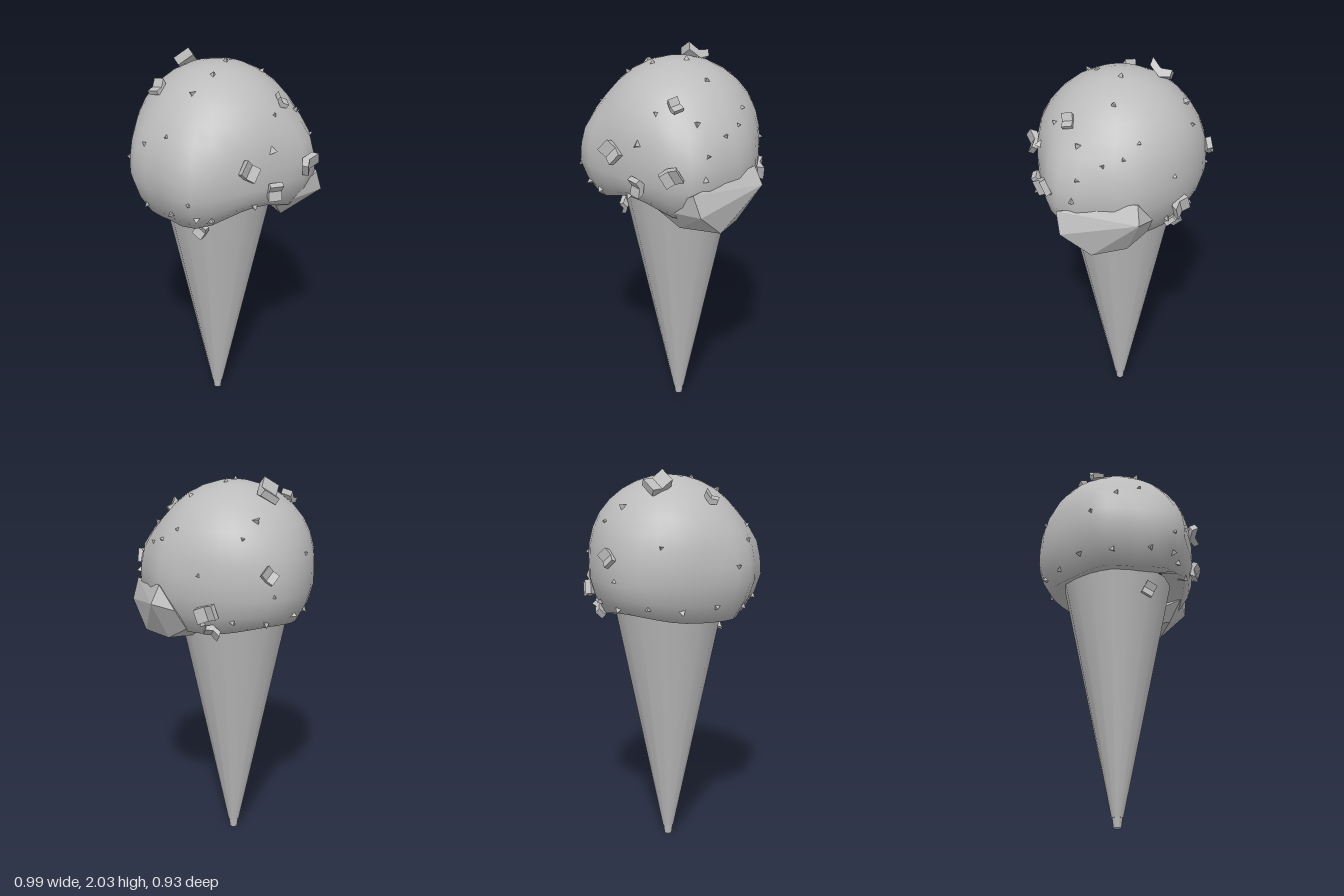
import * as THREE from 'three';
import { ConvexGeometry } from 'three/addons/geometries/ConvexGeometry.js';

const CX = -0.02, CY = 1.56, R = 0.43;

// Smooth bump around one angle, in degrees from +x towards +z
const bump = (a, centre, width) => {
  const d = ((a - centre + 540) % 360) - 180;
  return Math.exp(-((d / width) ** 2));
};
const bellyRadius = (a) =>
  0.415 + 0.09 * bump(a, 45, 20) + 0.09 * bump(a, 137, 20) + 0.06 * bump(a, 180, 20) +
  0.04 * bump(a, 5, 18) + 0.025 * bump(a, 270, 25);
const rimHeight = (a) => 1.27 + 0.09 * bump(a, 90, 32) + 0.05 * bump(a, 275, 35);

// Scoop: round dome that swells to an uneven belly, a wavy rim and a tucked underside
function scoopGeometry() {
  const seg = 32, domeRows = 8, pos = [], idx = [];
  const ring = (profile) => {
    for (let s = 0; s < seg; s++) {
      const deg = (s / seg) * 360, a = THREE.MathUtils.degToRad(deg);
      const [rad, y] = profile(bellyRadius(deg), rimHeight(deg));
      pos.push(CX + rad * Math.cos(a), y, rad * Math.sin(a));
    }
  };
  for (let r = 1; r <= domeRows; r++) {
    const phi = (r / domeRows) * Math.PI / 2;
    const w = 0.9 * THREE.MathUtils.smoothstep(phi, 0.85, 1.57);
    ring((belly) => [Math.sin(phi) * THREE.MathUtils.lerp(R, belly, w), CY + R * Math.cos(phi)]);
  }
  const rimRadius = (belly, rim) => belly * (rim - 0.47);
  ring((belly) => [belly, 1.47]);
  ring((belly, rim) => [THREE.MathUtils.lerp(belly, rimRadius(belly, rim), 0.35), (1.47 + rim) / 2]);
  ring((belly, rim) => [rimRadius(belly, rim), rim]);
  ring((belly, rim) => [0.25, rim + 0.04]);

  const top = pos.length / 3;
  pos.push(CX, CY + R, 0);
  for (let s = 0; s < seg; s++) {
    const n = (s + 1) % seg;
    idx.push(top, n, s);
    for (let a = 0; a < top - seg; a += seg) {
      const b = a + seg;
      idx.push(a + s, a + n, b + s, a + n, b + n, b + s);
    }
  }
  const g = new THREE.BufferGeometry();
  g.setAttribute('position', new THREE.Float32BufferAttribute(pos, 3));
  g.setIndex(idx);
  g.computeVertexNormals();
  return g;
}

// Bent flake of nut, unit sized, standing along y
function flakeGeometry() {
  const s = new THREE.Shape();
  s.moveTo(-0.5, 0.1);
  s.lineTo(-0.1, -0.1);
  s.lineTo(0.45, 0.15);
  s.lineTo(0.5, 0.5);
  s.lineTo(0, 0.25);
  s.lineTo(-0.45, 0.4);
  return new THREE.ExtrudeGeometry(s, { depth: 0.75, bevelEnabled: false }).translate(0, 0, -0.37);
}

export function createModel() {
  const group = new THREE.Group();
  const grey = new THREE.MeshStandardMaterial({ color: 0xbcbcbc });
  grey.name = 'plain grey';
  const add = (name, geometry, parent = group) => {
    const m = new THREE.Mesh(geometry, grey);
    m.name = name;
    parent.add(m);
    return m;
  };

  // Wafer cone with a small blunt tip
  const cone = add('cone', new THREE.CylinderGeometry(0.292, 0.03, 1.28, 16).translate(CX, 0.69, 0));
  add('coneTip', new THREE.CylinderGeometry(0.027, 0.02, 0.055, 16).translate(CX, 0.0275, 0));

  const scoop = add('scoop', scoopGeometry());

  // Faceted drip hanging over one side: flat base, wide middle, narrow top
  const v = (x, y, z) => new THREE.Vector3(x, y, z);
  add('drip', new ConvexGeometry([
    v(0.2, 1.22, 0.27), v(0.4, 1.22, 0.2), v(0.37, 1.22, 0.02), v(0.22, 1.22, -0.02),
    v(0.12, 1.32, 0.34), v(0.39, 1.35, 0.35), v(0.49, 1.43, -0.02), v(0.33, 1.29, -0.09),
    v(0.35, 1.46, 0.36), v(0.44, 1.52, -0.02), v(0.4, 1.4, -0.1),
  ]));

  // Nut chips, dropped onto the surface and turned to its normal
  const chips = new THREE.Group();
  chips.name = 'nutChips';
  group.add(chips);
  const flake = flakeGeometry();
  const shard = new THREE.ConeGeometry(0.5, 0.7, 3).toNonIndexed();
  shard.computeVertexNormals();
  const ray = new THREE.Raycaster();
  const yAxis = v(0, 1, 0);
  const drop = (geometry, from, direction, size) => {
    ray.set(from, direction);
    const hit = ray.intersectObjects([scoop, cone], false)[0];
    if (!hit) return;
    const chip = add('nutChip', geometry, chips);
    chip.position.copy(hit.point);
    chip.quaternion.setFromUnitVectors(yAxis, hit.face.normal);
    chip.rotateY(chips.children.length * 2.4);
    chip.rotateX(0.25);
    chip.scale.setScalar(size);
  };
  const front = (geometry, x, y, size) => drop(geometry, v(x, y, 2), v(0, 0, -1), size);
  const right = (geometry, z, y, size) => drop(geometry, v(2, y, z), v(-1, 0, 0), size);
  const above = (geometry, x, z, size) => drop(geometry, v(x, 3, z), v(0, -1, 0), size);

  // Large flakes
  front(flake, -0.1, 1.59, 0.1);
  front(flake, 0.06, 1.46, 0.09);
  front(flake, 0.25, 1.55, 0.1);
  front(flake, -0.21, 1.21, 0.08);
  right(flake, -0.24, 1.41, 0.1);
  right(flake, -0.22, 1.31, 0.08);
  above(flake, -0.07, -0.2, 0.12);
  above(flake, -0.3, -0.08, 0.08);
  above(flake, 0.17, 0.27, 0.07);
  above(flake, 0.07, -0.42, 0.08);

  // Pointed shards
  front(shard, 0.05, 1.66, 0.09);
  front(shard, -0.33, 1.36, 0.08);
  front(shard, -0.03, 1.37, 0.07);
  front(shard, 0.37, 1.52, 0.07);
  right(shard, 0.26, 1.63, 0.05);
  right(shard, 0.04, 1.73, 0.05);
  above(shard, 0.06, -0.31, 0.09);
  above(shard, -0.23, 0.13, 0.07);
  above(shard, -0.1, 0.1, 0.06);
  above(shard, 0.03, 0, 0.06);
  above(shard, 0.2, 0.06, 0.06);
  above(shard, 0.34, -0.04, 0.05);
  above(shard, 0.28, 0.24, 0.07);
  above(shard, -0.45, 0.05, 0.06);

  // Small crumbs: a spiral round the belly and a ring near the rim
  const around = (angle, y, size) => {
    const out = v(Math.cos(angle), 0, Math.sin(angle));
    drop(shard, out.clone().multiplyScalar(2).setY(y), out.negate(), size);
  };
  for (let i = 0; i < 12; i++) around(i * 2.4, 1.42 + i * 0.035, 0.05);
  for (let i = 0; i < 9; i++) around(2.2 + i * 0.44, 1.34 + 0.02 * (i % 2), 0.07);

  return group;
}
